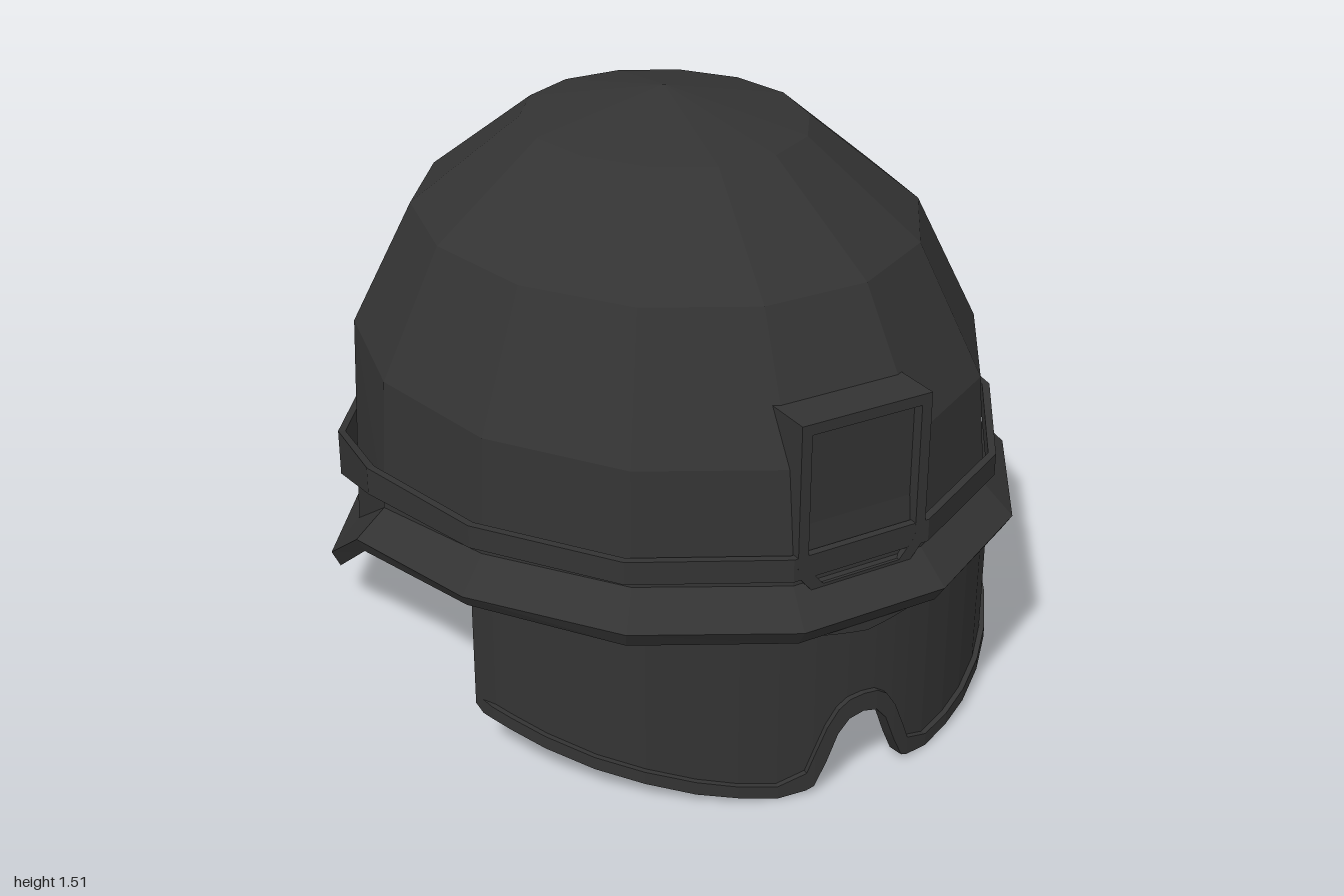
import * as THREE from 'three';
import { mergeVertices } from 'three/addons/utils/BufferGeometryUtils.js';

const SIDES = 14;
const material = new THREE.MeshStandardMaterial({ color: 0x333333, flatShading: true, side: THREE.DoubleSide });

// Skins rows of points with quads; rows run down the outside, columns run towards +x at the front.
function skin(rows, closeColumns, closeRows) {
  const n = rows[0].length, m = rows.length, index = [];
  for (let i = 0; i < (closeRows ? m : m - 1); i++) {
    for (let j = 0; j < (closeColumns ? n : n - 1); j++) {
      const i2 = (i + 1) % m, j2 = (j + 1) % n;
      const a = i * n + j, b = i * n + j2, c = i2 * n + j, d = i2 * n + j2;
      index.push(a, c, d, a, d, b);
    }
  }
  let geometry = new THREE.BufferGeometry().setFromPoints(rows.flat());
  geometry.setIndex(index);
  geometry = mergeVertices(geometry);
  geometry.computeVertexNormals();
  return geometry;
}

// One oval ring; y is a number or seven heights from the front round to the back.
function ring(y, rx, front, back, lift = 0) {
  const points = [];
  for (let j = 0; j < SIDES; j++) {
    const angle = (j + 0.5) * 2 * Math.PI / SIDES;
    const height = Array.isArray(y) ? y[j < 7 ? j : SIDES - 1 - j] : y;
    const c = Math.cos(angle) / 0.975;
    points.push(new THREE.Vector3(rx * Math.sin(angle), height + lift, c * (c > 0 ? front : back)));
  }
  return points;
}

function part(name, geometry) {
  const mesh = new THREE.Mesh(geometry, material);
  mesh.name = name;
  return mesh;
}

// Domed shell with a flared brim that drops at the back, and a thin inner lining
function makeShell() {
  const flare = [0.58, 0.58, 0.57, 0.52, 0.27, 0.27, 0.3];
  const edge = [0.5, 0.5, 0.49, 0.45, 0.16, 0.16, 0.2];
  const under = [0.455, 0.455, 0.455, 0.41, 0.12, 0.12, 0.16];
  return skin([
    ring(1.51, 0, 0, 0),
    ring(1.43, 0.36, 0.4, 0.385),
    ring(1.2, 0.64, 0.71, 0.69),
    ring(0.87, 0.8, 0.89, 0.865),
    ring(flare, 0.82, 0.92, 0.905),
    ring(edge, 0.9, 1, 1),
    ring(under, 0.88, 0.97, 0.965),
    ring(flare, 0.79, 0.88, 0.875, -0.03),
    ring(0.86, 0.775, 0.865, 0.84),
    ring(1.18, 0.62, 0.69, 0.67),
    ring(1.405, 0.35, 0.39, 0.375),
    ring(1.485, 0, 0, 0),
  ], true, false);
}

// Strap standing slightly off the shell
function makeStrap() {
  const top = [0.66, 0.66, 0.66, 0.645, 0.54, 0.54, 0.55];
  const bottom = [0.6, 0.6, 0.6, 0.57, 0.41, 0.41, 0.43];
  return skin([
    ring(top, 0.86, 0.935, 0.945),
    ring(bottom, 0.86, 0.935, 0.945),
    ring(bottom, 0.84, 0.915, 0.925),
    ring(top, 0.84, 0.915, 0.925),
  ], true, true);
}

// Curved goggles: each column is [x, frame bottom, lens bottom]
function makeGoggles() {
  const half = [
    [0, 0.2, 0.25], [0.04, 0.19, 0.245], [0.07, 0.155, 0.225], [0.1, 0.08, 0.18],
    [0.13, 0.018, 0.11], [0.15, 0.01, 0.06], [0.22, 0, 0.035], [0.31, 0.012, 0.045],
    [0.4, 0.025, 0.06], [0.5, 0.046, 0.08], [0.59, 0.066, 0.1], [0.67, 0.09, 0.125],
    [0.72, 0.11, 0.145], [0.745, 0.12, 0.155], [0.757, 0.125, 0.165], [0.766, 0.145, 0.185],
  ];
  const columns = [...half.slice(1).reverse().map(([x, b, l]) => [-x, b, l]), ...half];
  const rx = 0.84, rz = 0.97, top = 0.475;
  const sections = columns.map(([x, bottom, lens], i) => {
    const recess = i < 2 || i > columns.length - 3 ? 0 : 0.014;
    const lensTop = 0.455 - 0.025 * Math.max(0, 1 - Math.abs(x) / 0.18);
    const angle = Math.asin(x / rx);
    const at = (y, inset) => new THREE.Vector3((rx - inset) * Math.sin(angle), y, (rz - inset) * Math.cos(angle));
    return [at(top, 0), at(lensTop, 0), at(lensTop, recess), at(lens, recess),
      at(lens, 0), at(bottom, 0), at(bottom, 0.04), at(top, 0.04)];
  });
  // End caps: extra columns gathered to one point
  const cap = (s) => s.map(() => s[0].clone().add(s[5]).add(s[6]).add(s[7]).multiplyScalar(0.25));
  const all = [cap(sections[0]), ...sections, cap(sections[sections.length - 1])];
  return skin(all[0].map((_, k) => all.map((s) => s[k])), false, true);
}

// Plate outline with clipped lower corners, shrunk by an inset
function plateShape(inset, Type = THREE.Shape) {
  const w = 0.18 - inset, c = 0.125 - inset * 0.6, t = 1 - inset, b = 0.545 + inset;
  return new Type([[-w, t], [-w, 0.61 + inset * 0.5], [-c, b], [c, b], [w, 0.61 + inset * 0.5], [w, t]]
    .map(([x, y]) => new THREE.Vector2(x, y)));
}

// Front mount: a block through the shell with a raised rim
function makeMount() {
  const group = new THREE.Group();
  group.name = 'frontMount';
  const block = part('mountBlock', new THREE.ExtrudeGeometry(plateShape(0), { depth: 0.13, bevelEnabled: false }));
  block.position.z = 0.775;
  const rimShape = plateShape(0);
  rimShape.holes.push(plateShape(0.028, THREE.Path));
  const rim = part('mountRim', new THREE.ExtrudeGeometry(rimShape, { depth: 0.03, bevelEnabled: false }));
  rim.position.z = 0.905;
  group.add(block, rim);
  return group;
}

export function createModel() {
  const model = new THREE.Group();
  model.name = 'helmet';
  model.add(part('shell', makeShell()), part('strap', makeStrap()), part('goggles', makeGoggles()), makeMount());
  return model;
}
